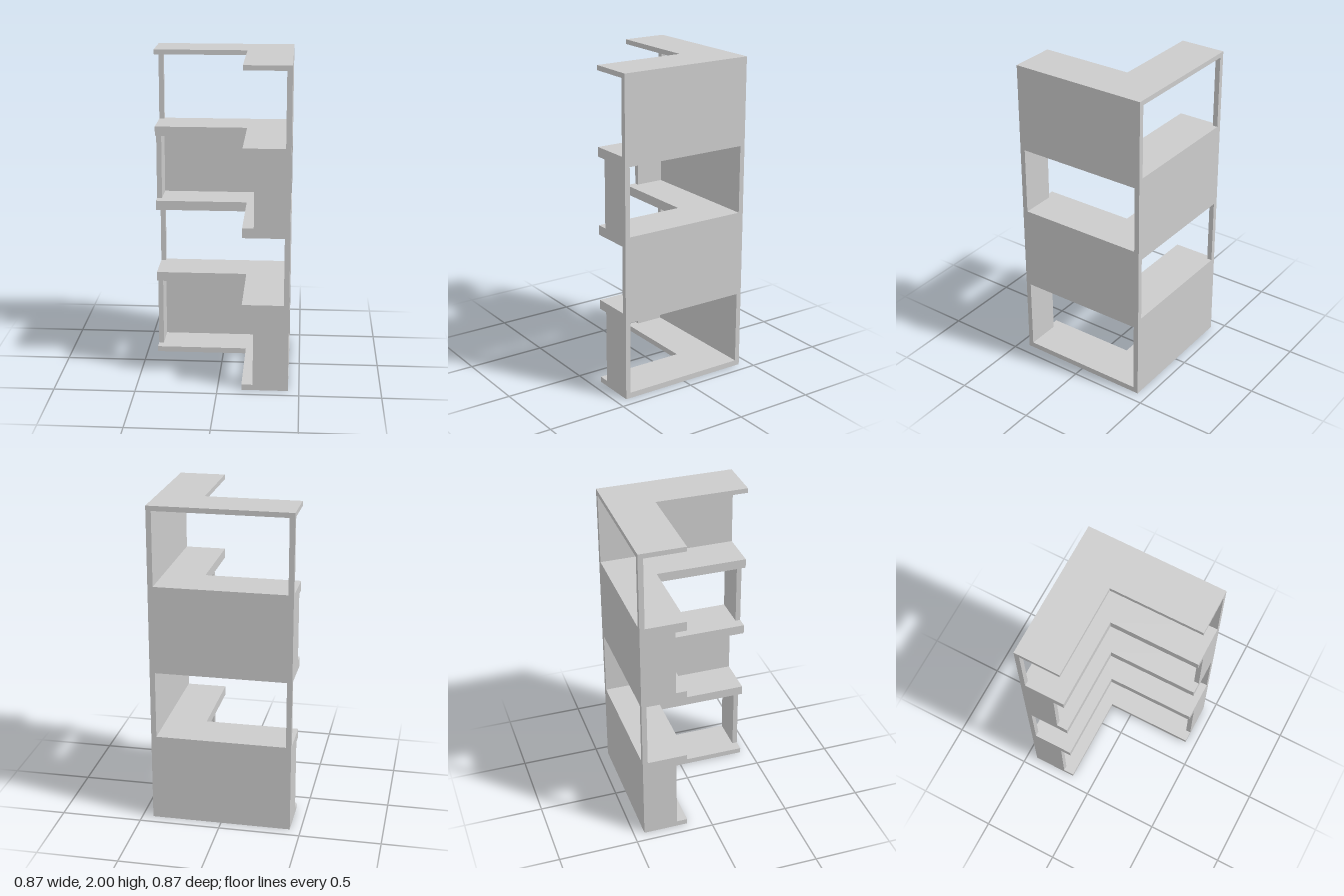
import * as THREE from 'three';

export function createModel() {
  const group = new THREE.Group();
  group.name = 'cornerShelf';
  const material = new THREE.MeshStandardMaterial({ color: 0xcccccc, flatShading: true });

  const R = 0.433;       // outer half width
  const T = 0.032;       // wall thickness
  const INNER = 0.148;   // inner corner of the L
  const END = 0.217;     // inner edge of the end panels

  const add = (name, geometry) => {
    const mesh = new THREE.Mesh(geometry, material);
    mesh.name = name;
    group.add(mesh);
  };
  // Box given by its bounds
  const box = (name, x0, x1, y0, y1, z0, z1) => {
    const g = new THREE.BoxGeometry(x1 - x0, y1 - y0, z1 - z0);
    g.translate((x0 + x1) / 2, (y0 + y1) / 2, (z0 + z1) / 2);
    add(name, g);
  };

  // L-shaped boards (shape y becomes -z)
  const outline = new THREE.Shape([
    [-R, R], [-R, INNER], [INNER, INNER], [INNER, -R], [R, -R], [R, R],
  ].map(([x, y]) => new THREE.Vector2(x, y)));
  const boards = [[0, 0.035], [0.493, 0.552], [0.972, 1.032], [1.456, 1.515], [1.97, 2]];
  boards.forEach(([y0, y1], i) => {
    const g = new THREE.ExtrudeGeometry(outline, { depth: y1 - y0, bevelEnabled: false });
    g.rotateX(-Math.PI / 2).translate(0, y0, 0);
    add('shelfBoard' + (i + 1), g);
  });

  // Walls of each tier: open side and open back alternate
  for (let i = 0; i < 4; i++) {
    const y0 = boards[i][1], y1 = boards[i + 1][0], n = i + 1;
    if (i % 2 === 0) {
      box('backWall' + n, -R, R, y0, y1, -R, -R + T);
      box('rightEndPanel' + n, -R, -R + T, y0, y1, -R + T, -END);
      box('frontEndPanel' + n, END, R, y0, y1, R - T, R);
    } else {
      box('sideWall' + n, R - T, R, y0, y1, -R, R);
      box('cornerPost' + n, -R, -R + T, y0, y1, -R, -R + T);
    }
  }
  return group;
}
